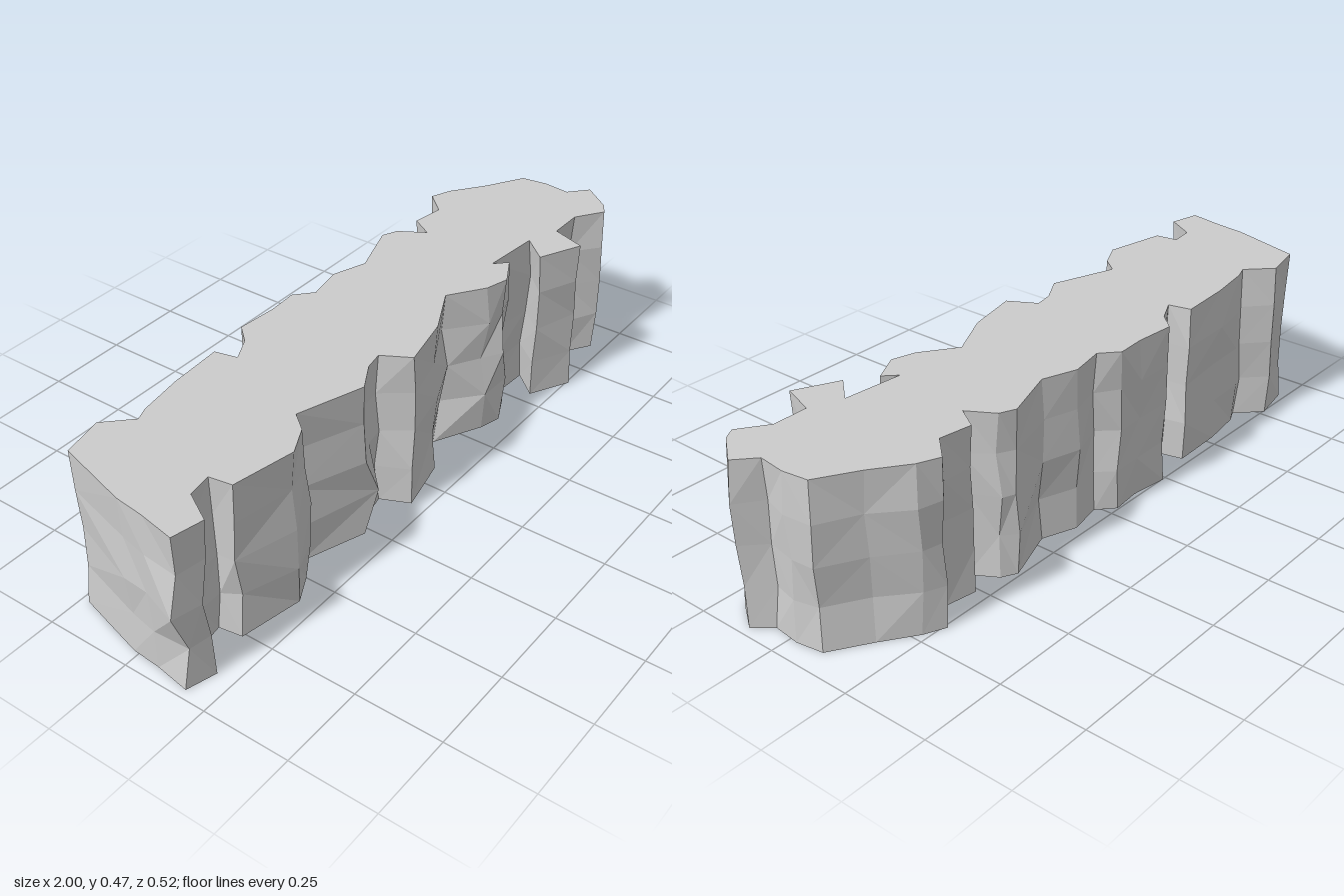
import * as THREE from 'three';

// Ragged plan outline [x, z]: along the back, round the left end, along the front
const OUTLINE = [
  [-0.89, -0.23], [-0.77, -0.255], [-0.7, -0.185], [-0.66, -0.2], [-0.53, -0.22], [-0.37, -0.23],
  [-0.355, -0.165], [-0.285, -0.2], [-0.24, -0.25], [-0.12, -0.24], [-0.035, -0.245], [0.015, -0.2],
  [0.12, -0.22], [0.22, -0.185], [0.38, -0.24], [0.425, -0.22], [0.47, -0.145], [0.51, -0.21],
  [0.605, -0.195], [0.665, -0.26], [0.725, -0.235], [0.82, -0.165], [0.93, -0.1], [0.94, -0.025],
  [0.93, 0.055], [0.985, 0.105], [0.92, 0.19], [0.885, 0.21], [0.805, 0.155], [0.7, 0.155],
  [0.665, 0.255], [0.54, 0.195], [0.605, 0.12], [0.43, 0.105], [0.465, 0.14], [0.38, 0.185],
  [0.31, 0.165], [0.21, 0.095], [0.07, 0.165], [-0.09, 0.2], [-0.135, 0.12], [-0.19, 0.13],
  [-0.27, 0.175], [-0.46, 0.11], [-0.5, 0.16], [-0.58, 0.2], [-0.76, 0.165], [-0.77, 0.1],
  [-0.84, 0.11], [-0.89, 0.195], [-0.98, 0.175], [-0.96, 0.07], [-0.95, -0.015],
];
const LEVELS = [0, 0.12, 0.24, 0.36, 0.475];

// Marked sideways shifts of single columns, one x offset per level
const SHIFTS = {
  25: [-0.01, -0.01, 0, 0.01, 0], 35: [0, 0.04, -0.01, 0, 0], 37: [-0.04, 0, 0.01, 0, 0],
  42: [0, 0.05, 0, 0, 0], 44: [0, 0.01, 0.02, 0, 0], 46: [0, 0.02, 0, 0, 0],
  49: [0, 0, -0.025, 0, 0], 50: [0.005, 0.025, -0.02, 0.005, 0],
};

function seeded(seed) {
  return () => {
    seed = (seed * 16807) % 2147483647;
    return seed / 2147483647;
  };
}

function createRock() {
  const rand = seeded(4711);
  const clamp = THREE.MathUtils.clamp;
  // Each level repeats the outline, slightly roughened below the top
  const rings = LEVELS.map((y, k) => OUTLINE.map(([x, z], i) => {
    const amount = [0.008, 0.02, 0.02, 0.02, 0][k];
    const dx = SHIFTS[i] ? SHIFTS[i][k] : (rand() - 0.5) * amount;
    const dz = (rand() - 0.5) * amount;
    return new THREE.Vector3(clamp(x + dx, -1, 1), y, clamp(z + dz, -0.26, 0.26));
  }));
  const positions = [];
  const tri = (...pts) => pts.forEach((p) => positions.push(p.x, p.y, p.z));

  // Faceted walls, with diagonals running either way
  const n = OUTLINE.length;
  for (let k = 0; k < LEVELS.length - 1; k++) {
    for (let i = 0; i < n; i++) {
      const j = (i + 1) % n;
      const a = rings[k][i], b = rings[k][j], c = rings[k + 1][j], d = rings[k + 1][i];
      if (rand() < 0.5) { tri(a, d, c); tri(a, c, b); }
      else { tri(a, d, b); tri(b, d, c); }
    }
  }

  // Flat bottom and top
  const cap = (ring, up) => {
    const flat = ring.map((p) => new THREE.Vector2(p.x, p.z));
    for (const [i, j, k] of THREE.ShapeUtils.triangulateShape(flat, [])) {
      const [a, b, c] = [ring[i], ring[j], ring[k]];
      const ny = (b.z - a.z) * (c.x - a.x) - (b.x - a.x) * (c.z - a.z);
      if ((ny > 0) === up) tri(a, b, c); else tri(a, c, b);
    }
  };
  cap(rings[0], false);
  cap(rings[LEVELS.length - 1], true);

  const geometry = new THREE.BufferGeometry();
  geometry.setAttribute('position', new THREE.Float32BufferAttribute(positions, 3));
  geometry.computeVertexNormals();
  return geometry;
}

export function createModel() {
  const group = new THREE.Group();
  group.name = 'rockLedge';
  const rock = new THREE.Mesh(
    createRock(),
    new THREE.MeshStandardMaterial({ color: 0xcccccc, flatShading: true }),
  );
  rock.name = 'rockWall';
  group.add(rock);
  return group;
}
